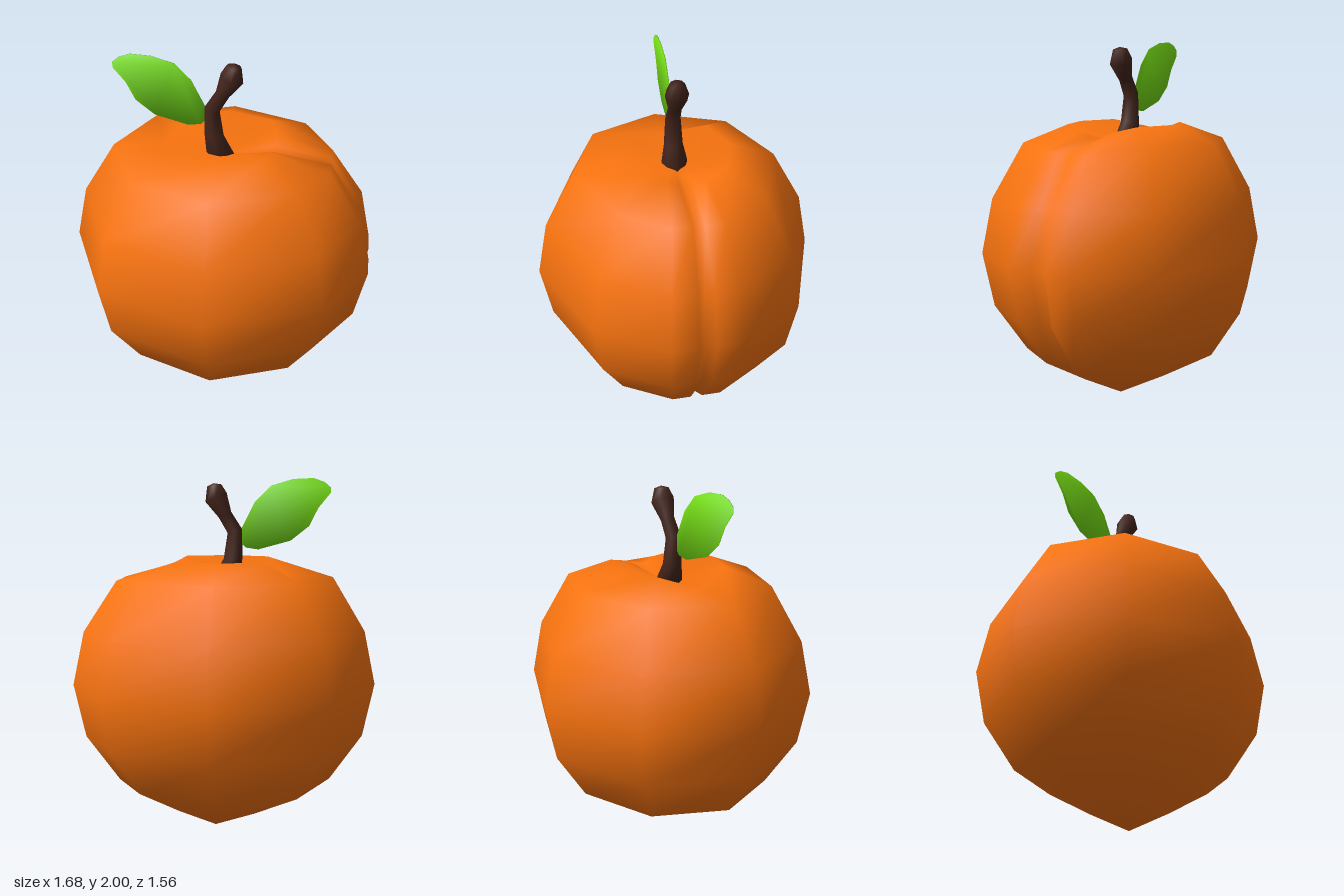
import * as THREE from 'three';

// Skin closed rings of points (bottom to top) and close both ends with a pole point.
function loft(rings, bottom, top) {
  const n = rings[0].length, index = [];
  const points = [...rings.flat(), bottom, top];
  const b = rings.length * n, t = b + 1, last = (rings.length - 1) * n;
  for (let i = 0; i < n; i++) {
    const k = (i + 1) % n;
    for (let j = 0; j < rings.length - 1; j++) {
      const p = j * n, q = p + n;
      index.push(p + i, q + i, p + k, q + i, q + k, p + k);
    }
    index.push(b, i, k, last + i, t, last + k);
  }
  const g = new THREE.BufferGeometry();
  g.setAttribute('position', new THREE.Float32BufferAttribute(points.flat(), 3));
  g.setIndex(index);
  g.computeVertexNormals();
  return g;
}

// Mirror half a ring (from the groove at +x round to -x) across z = 0.
const mirrorRing = half => [
  ...half,
  ...half.slice(1, -1).reverse().map(([x, y, z]) => [x, y, -z]),
];

function part(name, geometry, color) {
  const mesh = new THREE.Mesh(geometry, new THREE.MeshStandardMaterial({ color }));
  mesh.name = name;
  return mesh;
}

function fruitGeometry() {
  // height, scale, x shift, groove depth
  const levels = [
    [0.14, 0.35, 0.03, 0.03],
    [0.30, 0.71, 0, 0.04],
    [0.56, 0.925, 0, 0.03],
    [0.86, 1, 0, 0.022],
    [1.16, 0.925, 0, 0.035],
    [1.46, 0.71, 0, 0.06],
  ];
  const rings = levels.map(([y, s, cx, d]) => mirrorRing([
    [0.84 - d / s, 0], [0.84, 0.045], [0.84, 0.19], [0.61, 0.55],
    [0.01, 0.78], [-0.595, 0.55], [-0.84, 0],
  ].map(([x, z], i) => [x * s + cx, i < 3 && y > 1.4 ? y - 0.02 : y, z * s])));
  // rim around the stem hollow, lower at the groove and opposite it
  rings.push(mirrorRing([
    [0.25, 1.465, 0], [0.29, 1.495, 0.035], [0.30, 1.525, 0.10], [0.25, 1.555, 0.22],
    [0.01, 1.555, 0.30], [-0.22, 1.555, 0.22], [-0.32, 1.48, 0],
  ]));
  return loft(rings, [0.06, 0, 0], [0, 1.44, 0]);
}

function stemGeometry() {
  // centre x, centre y, radius, tilt of the section
  const sections = [
    [0, 1.43, 0.08, 0],
    [-0.04, 1.56, 0.052, 0],
    [-0.05, 1.71, 0.042, -0.25],
    [0.005, 1.8, 0.038, -0.45],
    [0.055, 1.895, 0.064, -0.4],
    [0.065, 1.96, 0.04, -0.15],
  ];
  const rings = sections.map(([cx, cy, r, tilt]) => Array.from({ length: 8 }, (_, i) => {
    const a = i * Math.PI / 4, u = r * Math.cos(a);
    return [cx + u * Math.cos(tilt), cy + u * Math.sin(tilt), r * Math.sin(a)];
  }));
  return loft(rings, [0, 1.42, 0], [0.068, 1.972, 0]);
}

function leafGeometry() {
  const outline = [
    [-0.08, 1.65], [-0.11, 1.62], [-0.18, 1.61], [-0.36, 1.66], [-0.46, 1.74],
    [-0.51, 1.84], [-0.575, 1.92], [-0.575, 1.95], [-0.54, 1.98], [-0.48, 2],
    [-0.37, 1.995], [-0.25, 1.96], [-0.16, 1.87], [-0.08, 1.71],
  ].map(p => new THREE.Vector2(...p));
  const g = new THREE.ExtrudeGeometry(new THREE.Shape(outline), { depth: 0.005, bevelEnabled: false });
  g.translate(0, 0, -0.0025);
  // softly domed normals on both faces
  const p = g.attributes.position, v = new THREE.Vector3();
  for (let i = 0; i < p.count; i++) {
    v.set((p.getX(i) + 0.35) * 1.5, (p.getY(i) - 1.82) * 3.5, Math.sign(p.getZ(i))).normalize();
    g.attributes.normal.setXYZ(i, v.x, v.y, v.z);
  }
  return g;
}

export function createModel() {
  const group = new THREE.Group();
  group.name = 'peach';
  group.add(
    part('fruit', fruitGeometry(), 0xf8730f),
    part('stem', stemGeometry(), 0x43241b),
    part('leaf', leafGeometry(), 0x76dd16),
  );
  return group;
}
